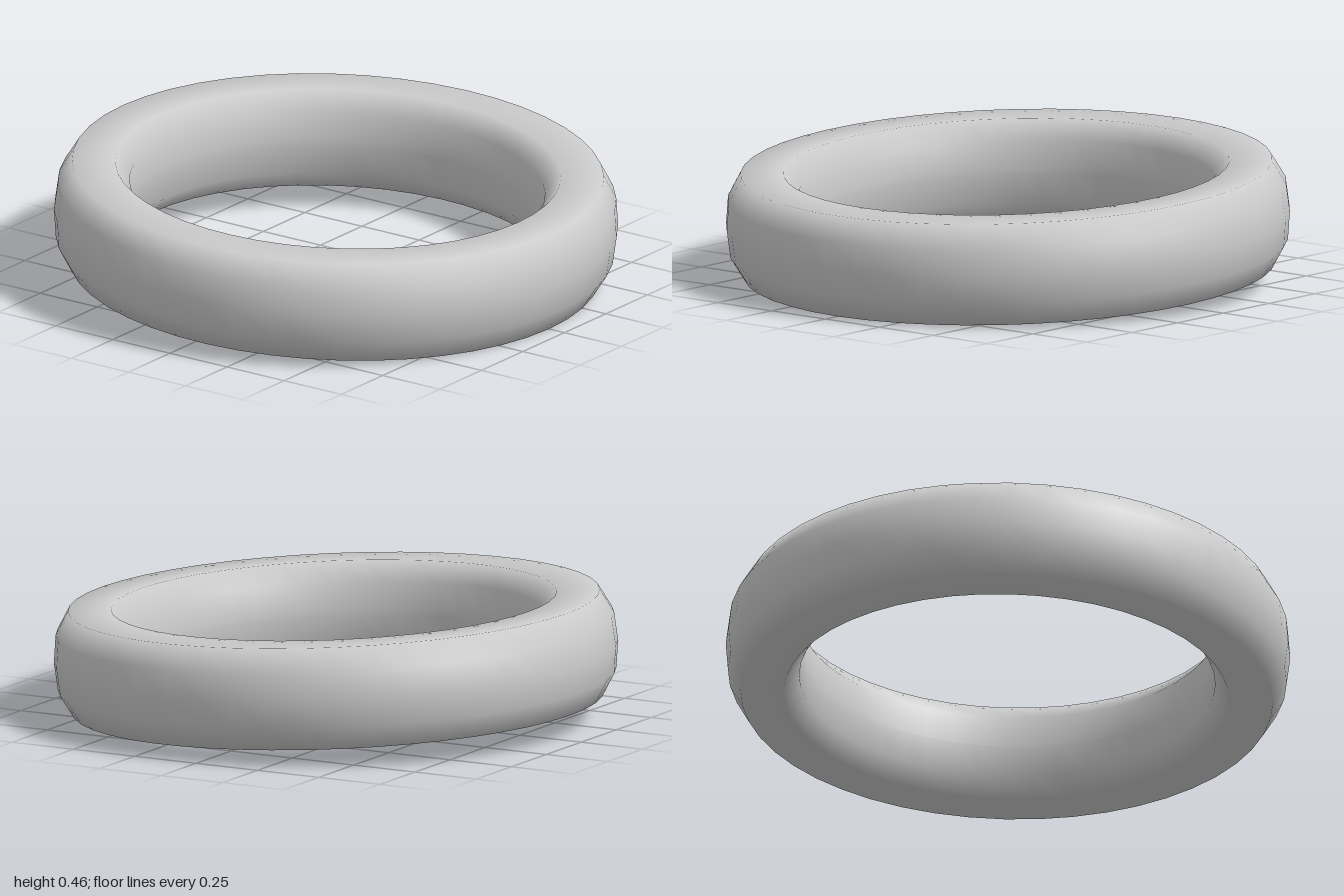
import * as THREE from 'three';

export function createModel() {
  const group = new THREE.Group();
  const tilt = 0.048;

  // Upper half of the cross-section, from the outer wall to the inner wall: radius, height
  const upper = [[0.99, 0.1], [0.943, 0.183], [0.79, 0.183], [0.737, 0.115]];
  const lower = upper.map(([r, y]) => [r, -y]).reverse();

  // Closed loop, with its seam in the middle of the inner wall
  const profile = [[0.735, 0], ...lower, [1, 0], ...upper, [0.735, 0]]
    .map(([r, y]) => new THREE.Vector2(r, y));

  const ring = new THREE.Mesh(
    new THREE.LatheGeometry(profile, 48),
    new THREE.MeshStandardMaterial({ color: 0xcccccc })
  );
  ring.name = 'ring';

  // Leans slightly forward, with its lowest edge on the ground
  ring.rotation.x = tilt;
  ring.position.y = 0.183 * Math.cos(tilt) + 0.943 * Math.sin(tilt);
  group.add(ring);
  return group;
}
